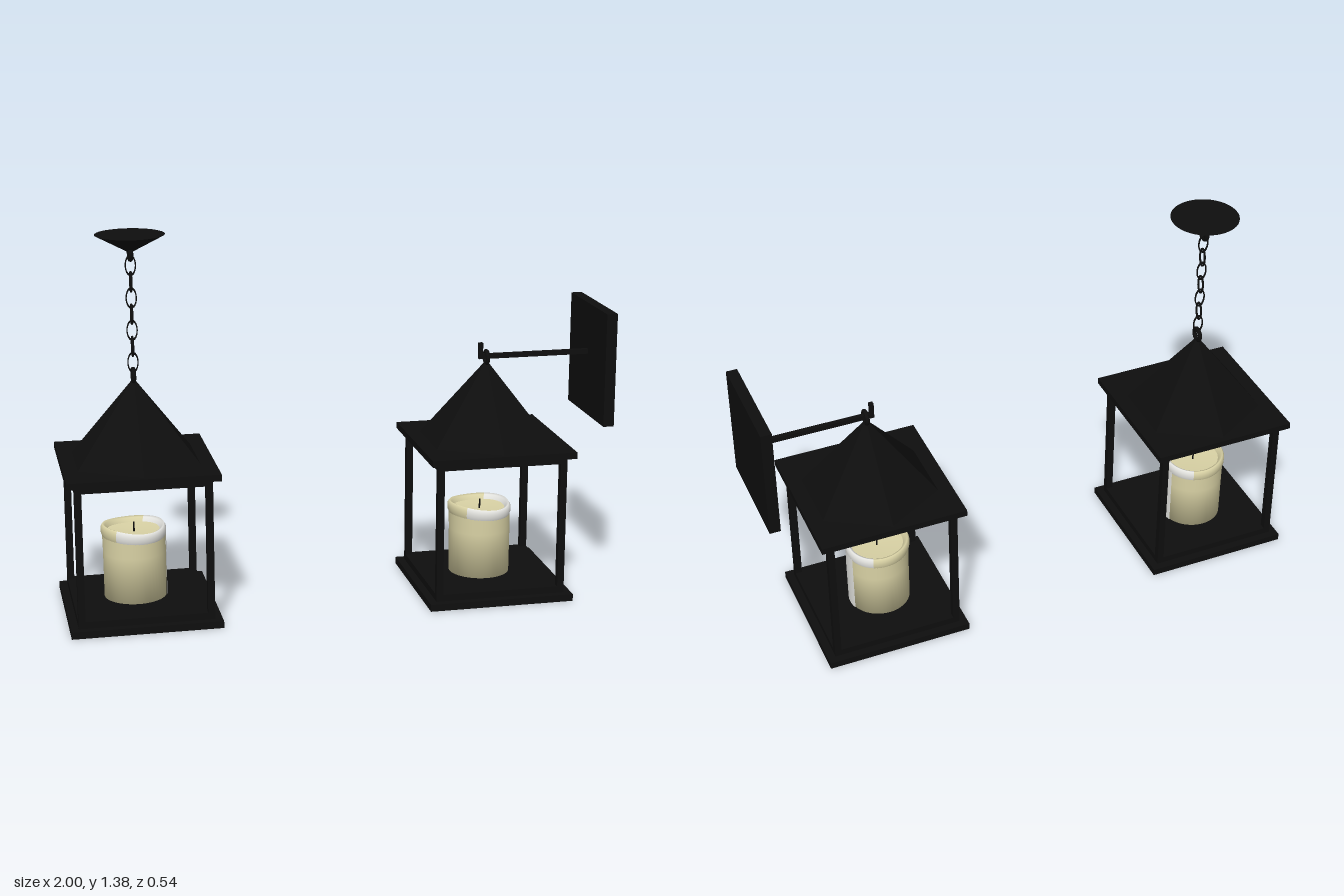
import * as THREE from 'three';

const iron = new THREE.MeshStandardMaterial({ name: 'black iron', color: 0x0e0e0e });
const wax = new THREE.MeshStandardMaterial({ name: 'cream wax', color: 0xd8d1a4 });
const paleWax = new THREE.MeshStandardMaterial({ name: 'pale melted wax', color: 0xe4e4e0 });

function add(parent, name, geometry, material, x = 0, y = 0, z = 0) {
  const mesh = new THREE.Mesh(geometry, material);
  mesh.name = name;
  mesh.position.set(x, y, z);
  parent.add(mesh);
  return mesh;
}

function box(parent, name, w, h, d, x, y, z) {
  return add(parent, name, new THREE.BoxGeometry(w, h, d), iron, x, y, z);
}

// Lathe sector whose upper part sags and swells unevenly, like melted wax
function waxLathe(points, start = 0, length = Math.PI * 2) {
  const profile = points.map(([r, y]) => new THREE.Vector2(r, y));
  const geometry = new THREE.LatheGeometry(profile, Math.max(8, Math.round(length * 8)), start, length);
  const p = geometry.attributes.position;
  for (let i = 0; i < p.count; i++) {
    const x = p.getX(i), y = p.getY(i), z = p.getZ(i);
    const a = Math.atan2(x, z);
    const melt = Math.max(0, (y - 0.22) / 0.1);
    const swell = 1 + 0.025 * melt * Math.sin(3 * a + 0.6);
    const sag = melt * (0.004 * Math.sin(2 * a - 2.2) - 0.003 * Math.sin(a));
    p.setXYZ(i, x * swell, y + sag, z * swell);
  }
  return geometry;
}

function makeCandle() {
  const candle = new THREE.Group();
  candle.name = 'candle';
  add(candle, 'candleBody', waxLathe([[0, 0.05], [0.113, 0.05], [0.114, 0.22], [0.114, 0.3]]), wax);
  // Raised lip around the pool, pale where the wax has run
  const lip = [[0.113, 0.275], [0.118, 0.288], [0.118, 0.307], [0.111, 0.318], [0.102, 0.314], [0.094, 0.296]];
  add(candle, 'paleLip', waxLathe(lip, -0.7, 3.4), paleWax);
  add(candle, 'creamLip', waxLathe(lip, 2.7, Math.PI * 2 - 3.4), wax);
  add(candle, 'waxPool', waxLathe([[0.097, 0.298], [0.05, 0.294], [0, 0.293]]), wax);
  // Run of wax down the side
  add(candle, 'waxDrip', waxLathe([[0.1155, 0.05], [0.1165, 0.22], [0.1165, 0.29]], 1.28, 0.64), paleWax);
  add(candle, 'wick', new THREE.CylinderGeometry(0.003, 0.003, 0.036, 8), iron, 0, 0.309, 0);
  candle.position.set(-0.012, 0, -0.01);
  return candle;
}

function makeLantern(name, x) {
  const lantern = new THREE.Group();
  lantern.name = name;
  lantern.position.x = x;
  // Stepped plates below and above
  box(lantern, 'basePlate', 0.54, 0.026, 0.54, 0, 0.013, 0);
  box(lantern, 'baseStep', 0.485, 0.025, 0.485, 0, 0.0385, 0);
  box(lantern, 'topStep', 0.485, 0.025, 0.485, 0, 0.534, 0);
  box(lantern, 'topPlate', 0.54, 0.024, 0.54, 0, 0.558, 0);
  for (const sx of [-1, 1]) for (const sz of [-1, 1]) {
    box(lantern, 'cornerPost', 0.025, 0.475, 0.025, sx * 0.23, 0.287, sz * 0.23);
  }
  // Six-sided roof and hanging ring
  const roof = new THREE.ConeGeometry(0.25, 0.295, 6).toNonIndexed();
  roof.computeVertexNormals();
  add(lantern, 'roof', roof, iron, 0, 0.7175, 0);
  const ring = add(lantern, 'roofRing', new THREE.TorusGeometry(0.022, 0.008, 10, 24), iron, 0, 0.875, 0);
  ring.rotation.y = Math.PI / 2;
  lantern.add(makeCandle());
  return lantern;
}

function makeChain(x) {
  const chain = new THREE.Group();
  chain.name = 'hangingChain';
  chain.position.x = x;
  // Ceiling canopy with its ring
  add(chain, 'ceilingCanopy', new THREE.CylinderGeometry(0.123, 0.008, 0.062, 40), iron, 0, 1.349, 0);
  const ring = add(chain, 'canopyRing', new THREE.TorusGeometry(0.024, 0.009, 10, 24), iron, 0, 1.316, 0);
  ring.rotation.y = Math.PI / 2;
  // Oval links, each turned a quarter from the last
  const linkShape = new THREE.TorusGeometry(0.0345, 0.0042, 8, 24);
  linkShape.scale(0.52, 1, 1);
  for (let i = 0; i < 7; i++) {
    const link = add(chain, 'chainLink', linkShape, iron, 0, 1.27 - i * 0.058, 0);
    link.rotation.y = (i % 2) * Math.PI / 2;
  }
  return chain;
}

function makeBracket() {
  const bracket = new THREE.Group();
  bracket.name = 'wallBracket';
  box(bracket, 'wallPlate', 0.04, 0.42, 0.4, 0.98, 0.85, 0);
  box(bracket, 'bracketArm', 0.42, 0.018, 0.016, 0.755, 0.879, 0);
  box(bracket, 'hookTip', 0.015, 0.06, 0.016, 0.5475, 0.9, 0);
  return bracket;
}

export function createModel() {
  const model = new THREE.Group();
  model.name = 'lanternPair';
  model.add(makeLantern('hangingLantern', -0.73), makeChain(-0.73));
  model.add(makeLantern('wallLantern', 0.57), makeBracket());
  return model;
}
